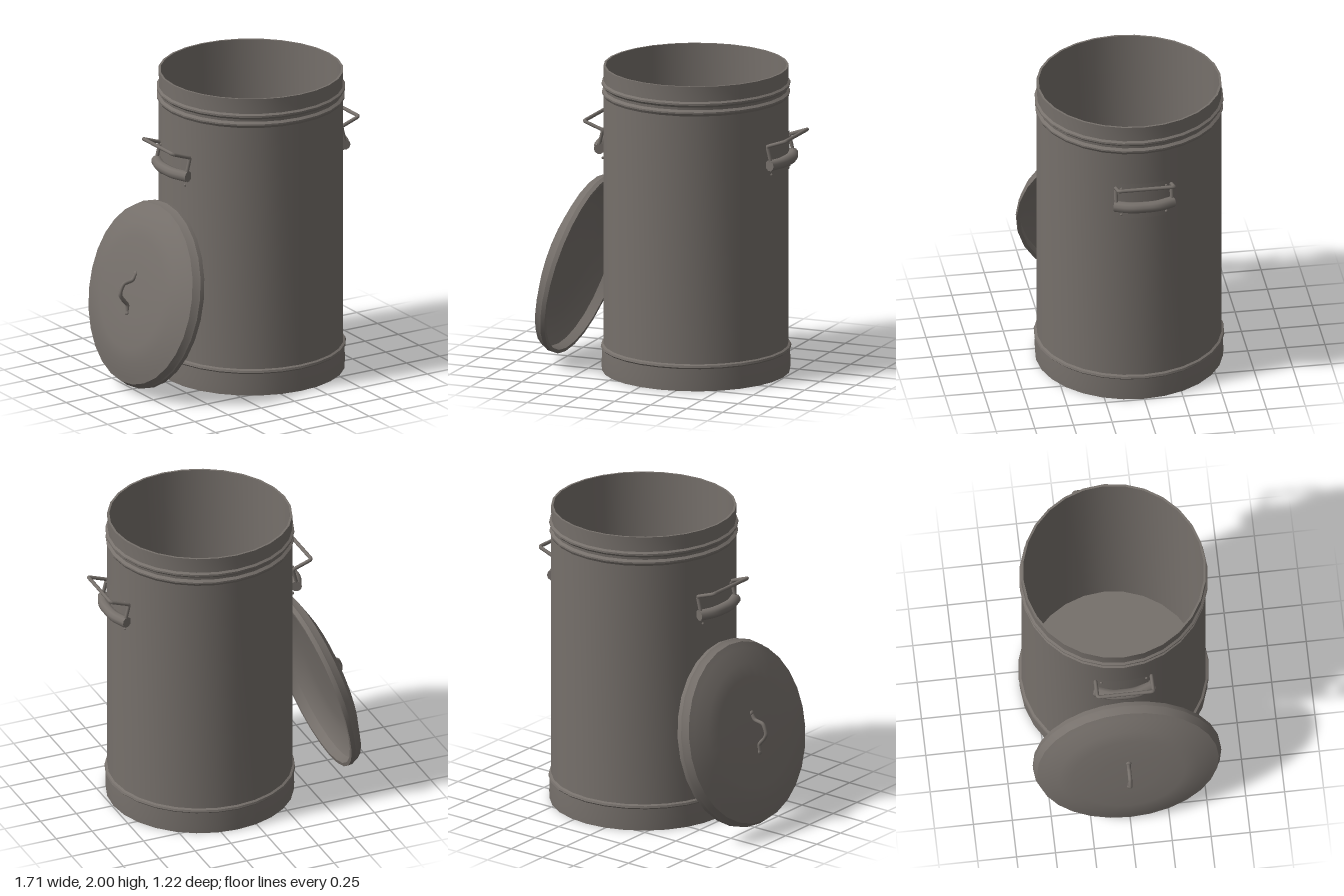
import * as THREE from 'three';
import { toCreasedNormals } from 'three/addons/utils/BufferGeometryUtils.js';

const metal = new THREE.MeshStandardMaterial({ color: 0x76706b });
metal.name = 'dullGreyMetal';

function add(parent, name, geometry) {
  const mesh = new THREE.Mesh(geometry, metal);
  mesh.name = name;
  parent.add(mesh);
  return mesh;
}

// Revolved shell with crisp folds
function turned(profile, sides) {
  const points = profile.map(([r, y]) => new THREE.Vector2(r, y));
  return toCreasedNormals(new THREE.LatheGeometry(points, sides), 0.5);
}

// Bent rod through a few points
function rod(points, radius, tension, steps, sides = 8) {
  const path = new THREE.CatmullRomCurve3(
    points.map((p) => new THREE.Vector3(...p)), false, 'catmullrom', tension);
  return new THREE.TubeGeometry(path, steps, radius, sides);
}

function createSideHandle() {
  const handle = new THREE.Group();
  handle.name = 'sideHandle';

  // Curved mounting plate riveted to the wall
  const half = 0.27;
  add(handle, 'mountingPlate', new THREE.CylinderGeometry(
    0.602, 0.602, 0.25, 6, 1, true, Math.PI / 2 - half, half * 2)).position.y = 1.465;
  for (const y of [1.365, 1.555]) {
    for (const z of [-0.145, 0.145]) {
      const rivet = add(handle, 'rivet', new THREE.SphereGeometry(0.009, 8, 6));
      rivet.position.set(0.585, y, z);
    }
  }

  // Bulging grip, with closed ends
  add(handle, 'grip', rod([
    [0.59, 1.435, 0.19], [0.628, 1.435, 0.09], [0.635, 1.435, 0],
    [0.628, 1.435, -0.09], [0.59, 1.435, -0.19]], 0.036, 0.5, 16, 10));
  for (const side of [-1, 1]) {
    const cap = add(handle, 'gripEnd', new THREE.CircleGeometry(0.036, 10));
    cap.position.set(0.59, 1.435, side * 0.19);
    cap.rotation.y = side > 0 ? -0.36 : Math.PI + 0.36;
  }

  // Wire bail rising from the grip ends and folding outward
  add(handle, 'wireBail', rod([
    [0.605, 1.42, 0.18], [0.572, 1.555, 0.18], [0.62, 1.575, 0.18], [0.69, 1.6, 0.18],
    [0.7, 1.605, 0.165], [0.7, 1.605, -0.165], [0.69, 1.6, -0.18],
    [0.62, 1.575, -0.18], [0.572, 1.555, -0.18], [0.605, 1.42, -0.18]], 0.012, 0.1, 90));
  return handle;
}

function createCan() {
  const can = new THREE.Group();
  can.name = 'can';
  can.position.x = 0.14;

  // Base band, wall, two rolled ridges, rim, inner wall and floor
  add(can, 'canShell', turned([
    [0, 0], [0.602, 0], [0.604, 0.05], [0.6, 0.145], [0.61, 0.155], [0.606, 0.168],
    [0.592, 0.175], [0.592, 1.805], [0.602, 1.822], [0.602, 1.832], [0.585, 1.845],
    [0.587, 1.862], [0.604, 1.878], [0.604, 1.89], [0.59, 1.9], [0.592, 2],
    [0.578, 2], [0.575, 0.04], [0, 0.04]], 28));

  const left = createSideHandle();
  const right = createSideHandle();
  right.rotation.y = Math.PI;
  can.add(left, right);
  return can;
}

function createLid() {
  const lid = new THREE.Group();
  lid.name = 'lid';
  lid.position.set(-0.615, 0.615, 0);
  lid.rotation.z = 1.32; // leaning against the can

  // Hollow shallow dome with a folded rim
  add(lid, 'lidShell', turned([
    [0.58, 0], [0.604, 0], [0.605, 0.03], [0.598, 0.04], [0.584, 0.078], [0.545, 0.092],
    [0.45, 0.128], [0.36, 0.142], [0.18, 0.148], [0, 0.15],
    [0, 0.135], [0.18, 0.133], [0.36, 0.127], [0.45, 0.113], [0.545, 0.077],
    [0.572, 0.06], [0.58, 0]], 28));

  // Bent lid handle with flattened feet
  add(lid, 'lidHandle', rod([
    [0.128, 0.146, 0], [0.082, 0.165, 0], [0.051, 0.222, 0], [-0.013, 0.232, 0],
    [-0.047, 0.205, 0], [-0.081, 0.16, 0], [-0.132, 0.146, 0]], 0.013, 0.4, 36));
  for (const x of [0.128, -0.132]) {
    const foot = add(lid, 'handleFoot', new THREE.SphereGeometry(0.018, 10, 6));
    foot.scale.y = 0.6;
    foot.position.set(x, 0.15, 0);
  }
  return lid;
}

export function createModel() {
  const model = new THREE.Group();
  model.name = 'metalBin';
  model.add(createCan(), createLid());
  return model;
}
